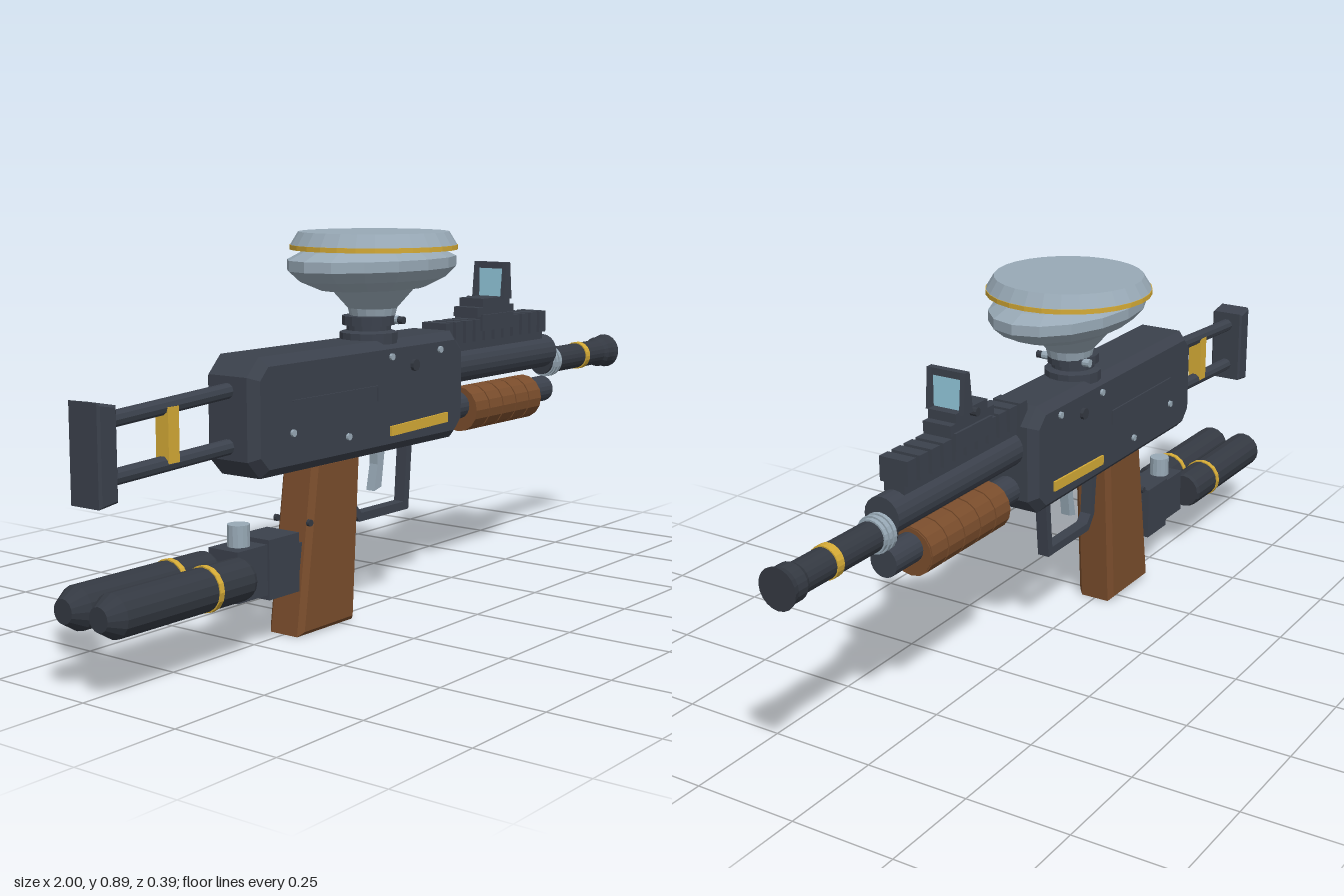
import * as THREE from 'three';

const mat = (name, color) => {
  const m = new THREE.MeshStandardMaterial({ color });
  m.name = name;
  return m;
};

export function createModel() {
  const root = new THREE.Group();
  const dark = mat('gunmetal', 0x3b414c);
  const black = mat('barrel black', 0x343942);
  const steel = mat('steel', 0x98a9b6);
  const gold = mat('gold', 0xd4aa36);
  const wood = mat('brown grip', 0x7a4d2c);
  const glass = mat('lens', 0x92c8dc);

  // Every mesh gets faceted normals
  const add = (name, geo, material) => {
    const g = geo.index ? geo.toNonIndexed() : geo;
    g.computeVertexNormals();
    const m = new THREE.Mesh(g, material);
    m.name = name;
    root.add(m);
    return m;
  };
  // Box given by its x, y and z ranges
  const box = (name, x0, x1, y0, y1, z0, z1, material) => add(name,
    new THREE.BoxGeometry(x1 - x0, y1 - y0, z1 - z0)
      .translate((x0 + x1) / 2, (y0 + y1) / 2, (z0 + z1) / 2), material);
  // Turned part along x; profile points are [x, radius]
  const turned = (name, pts, y, z, material, sides = 20) => add(name,
    new THREE.LatheGeometry(pts.map(([x, r]) => new THREE.Vector2(r, x)), sides)
      .rotateZ(-Math.PI / 2).translate(0, y, z), material);
  const bar = (name, x0, x1, r, y, z, material, sides = 20) =>
    turned(name, [[x0, 0], [x0, r], [x1, r], [x1, 0]], y, z, material, sides);
  // Short pin along z
  const pin = (name, x, y, z, r, length, material) => add(name,
    new THREE.CylinderGeometry(r, r, length, 10).rotateX(Math.PI / 2).translate(x, y, z), material);
  // Side profile extruded across z with chamfered edges
  const slab = (name, pts, half, bevel, material, hole) => {
    const shape = new THREE.Shape(pts.map(p => new THREE.Vector2(...p)));
    if (hole) shape.holes.push(new THREE.Path(hole.map(p => new THREE.Vector2(...p))));
    return add(name, new THREE.ExtrudeGeometry(shape, {
      depth: 2 * (half - bevel), bevelEnabled: bevel > 0, bevelThickness: bevel,
      bevelSize: bevel, bevelOffset: -bevel, bevelSegments: 1,
    }).translate(0, 0, bevel - half), material);
  };
  // Upright turned part; profile points are [radius, y]
  const upright = (name, pts, x, material, sides, sx = 1) => add(name,
    new THREE.LatheGeometry(pts.map(p => new THREE.Vector2(...p)), sides)
      .scale(sx, 1, 1).translate(x, 0, 0), material);

  // Receiver
  slab('receiver', [[-0.535, 0.38], [0.16, 0.38], [0.2, 0.42], [0.2, 0.6], [0.16, 0.64],
    [-0.535, 0.64], [-0.573, 0.6], [-0.573, 0.42]], 0.074, 0.02, dark);
  for (const s of [-1, 1]) {
    slab('accentStripe', [[-0.105, 0.418], [0.12, 0.424], [0.12, 0.448], [-0.105, 0.441]], 0.004, 0, gold)
      .position.z = s * 0.075;
    for (const [x, y] of [[-0.1, 0.602], [0.09, 0.602], [-0.45, 0.47], [-0.26, 0.437]])
      pin('screw', x, y, s * 0.074, 0.008, 0.012, steel);
    pin('receiverPin', -0.013, 0.575, s * 0.074, 0.014, 0.016, black);
    // Raised panel edge
    box('panelLine', -0.45, -0.15, 0.537, 0.541, s * 0.075 - 0.003, s * 0.075 + 0.003, dark);
    box('panelLine', -0.154, -0.15, 0.505, 0.541, s * 0.075 - 0.003, s * 0.075 + 0.003, dark);
  }

  // Stock
  slab('buttPlate', [[-0.98, 0.385], [-0.93, 0.392], [-0.93, 0.583], [-0.98, 0.592]], 0.044, 0.005, dark);
  for (const [ya, yb] of [[0.547, 0.57], [0.432, 0.45]]) {
    const a = new THREE.Vector3(-0.94, ya, 0), b = new THREE.Vector3(-0.55, yb, 0);
    add('stockRod', new THREE.TubeGeometry(new THREE.LineCurve3(a, b), 1, 0.017, 10), dark);
  }
  box('stockStrut', -0.768, -0.737, 0.442, 0.558, -0.018, 0.018, gold);

  // Hopper feed neck with clamp screw
  upright('feedNeck', [[0, 0.63], [0.068, 0.63], [0.068, 0.655], [0.052, 0.66], [0.052, 0.675], [0, 0.675]], -0.09, dark, 16);
  upright('clampRing', [[0, 0.672], [0.062, 0.672], [0.062, 0.693], [0, 0.693]], -0.09, dark, 16);
  pin('clampScrew', -0.06, 0.683, 0, 0.01, 0.13, steel);
  pin('clampKnob', -0.06, 0.683, 0.073, 0.009, 0.014, black);

  // Hopper bowl, gold rim and lid
  upright('hopperFunnel', [[0, 0.69], [0.053, 0.69], [0.058, 0.71], [0.1, 0.757], [0, 0.757]], -0.075, steel, 16);
  upright('hopperBowl', [[0, 0.75], [0.098, 0.755], [0.138, 0.778], [0.158, 0.802], [0.158, 0.826],
    [0.132, 0.843], [0.09, 0.854], [0, 0.854]], -0.072, steel, 16, 1.57);
  upright('lidRim', [[0, 0.845], [0.195, 0.845], [0.195, 0.856], [0, 0.856]], -0.07, gold, 28);
  upright('hopperLid', [[0, 0.855], [0.194, 0.855], [0.175, 0.886], [0, 0.886]], -0.07, steel, 28);

  // Barrel group
  bar('barrelShroud', 0.18, 0.67, 0.044, 0.543, 0, dark);
  bar('barrelCollar', 0.67, 0.71, 0.038, 0.513, 0, steel);
  for (const x of [0.675, 0.691]) bar('collarRidge', x, x + 0.009, 0.042, 0.513, 0, steel);
  bar('barrel', 0.66, 0.96, 0.034, 0.513, 0, black);
  bar('barrelBand', 0.84, 0.86, 0.037, 0.513, 0, gold);
  turned('muzzle', [[0.945, 0], [0.945, 0.034], [0.957, 0.041], [0.985, 0.041], [1, 0.046], [1, 0]], 0.513, 0, black);

  // Lower tube and ribbed foregrip
  bar('lowerTube', 0.18, 0.67, 0.034, 0.44, 0, dark);
  bar('foregripCore', 0.278, 0.577, 0.054, 0.43, 0, wood, 16);
  for (let i = 0; i < 5; i++)
    bar('foregripRib', 0.275 + i * 0.061, 0.331 + i * 0.061, 0.057, 0.43, 0, wood, 16);

  // Accessory rail
  box('railBase', 0.165, 0.625, 0.58, 0.638, -0.026, 0.026, dark);
  for (let i = 0; i < 11; i++)
    box('railTooth', 0.17 + i * 0.0425, 0.2 + i * 0.0425, 0.6, 0.655, -0.036, 0.036, dark);

  // Reflex sight
  box('sightClamp', 0.32, 0.46, 0.625, 0.665, -0.042, 0.042, dark);
  box('sightBase', 0.305, 0.47, 0.66, 0.684, -0.036, 0.036, dark);
  box('sightHousing', 0.33, 0.45, 0.68, 0.705, -0.036, 0.036, dark);
  for (const s of [-1, 1])
    slab('sightFramePost', [[0.405, 0.7], [0.44, 0.7], [0.432, 0.792], [0.415, 0.792]], 0.006, 0, dark)
      .position.z = s * 0.043;
  box('sightFrameTop', 0.415, 0.432, 0.776, 0.792, -0.049, 0.049, dark);
  box('sightLens', 0.42, 0.427, 0.7, 0.78, -0.038, 0.038, glass);
  pin('sightDial', 0.39, 0.695, -0.042, 0.01, 0.02, black);

  // Grip, trigger and guard
  slab('grip', [[-0.4, 0], [-0.205, 0], [-0.18, 0.39], [-0.345, 0.39]], 0.05, 0.012, wood);
  slab('triggerGuard', [[-0.185, 0.385], [-0.172, 0.25], [-0.145, 0.215], [0.045, 0.215], [0.06, 0.385]],
    0.015, 0, dark, [[-0.165, 0.384], [-0.155, 0.255], [-0.137, 0.235], [0.028, 0.235], [0.04, 0.384]]);
  slab('trigger', [[-0.085, 0.278], [-0.058, 0.285], [-0.042, 0.39], [-0.075, 0.39], [-0.072, 0.34]], 0.012, 0, steel);
  for (const s of [-1, 1]) pin('gripScrew', -0.365, 0.255, s * 0.048, 0.008, 0.008, black);

  // Twin air tanks with regulator
  box('regulator', -0.595, -0.5, 0.118, 0.23, -0.042, 0.042, dark);
  box('tankMount', -0.5, -0.4, 0.107, 0.24, -0.047, 0.047, dark);
  box('gripLink', -0.41, -0.35, 0.13, 0.21, -0.03, 0.03, dark);
  upright('regulatorKnob', [[0, 0.225], [0.025, 0.225], [0.025, 0.278], [0, 0.278]], -0.545, steel, 14);
  for (const s of [-1, 1]) {
    turned('airTank', [[-1, 0], [-1, 0.026], [-0.965, 0.047], [-0.6, 0.047], [-0.59, 0.043], [-0.59, 0]],
      0.175, s * 0.05, black, 16);
    bar('tankBand', -0.71, -0.697, 0.05, 0.175, s * 0.05, gold, 16);
  }
  return root;
}
